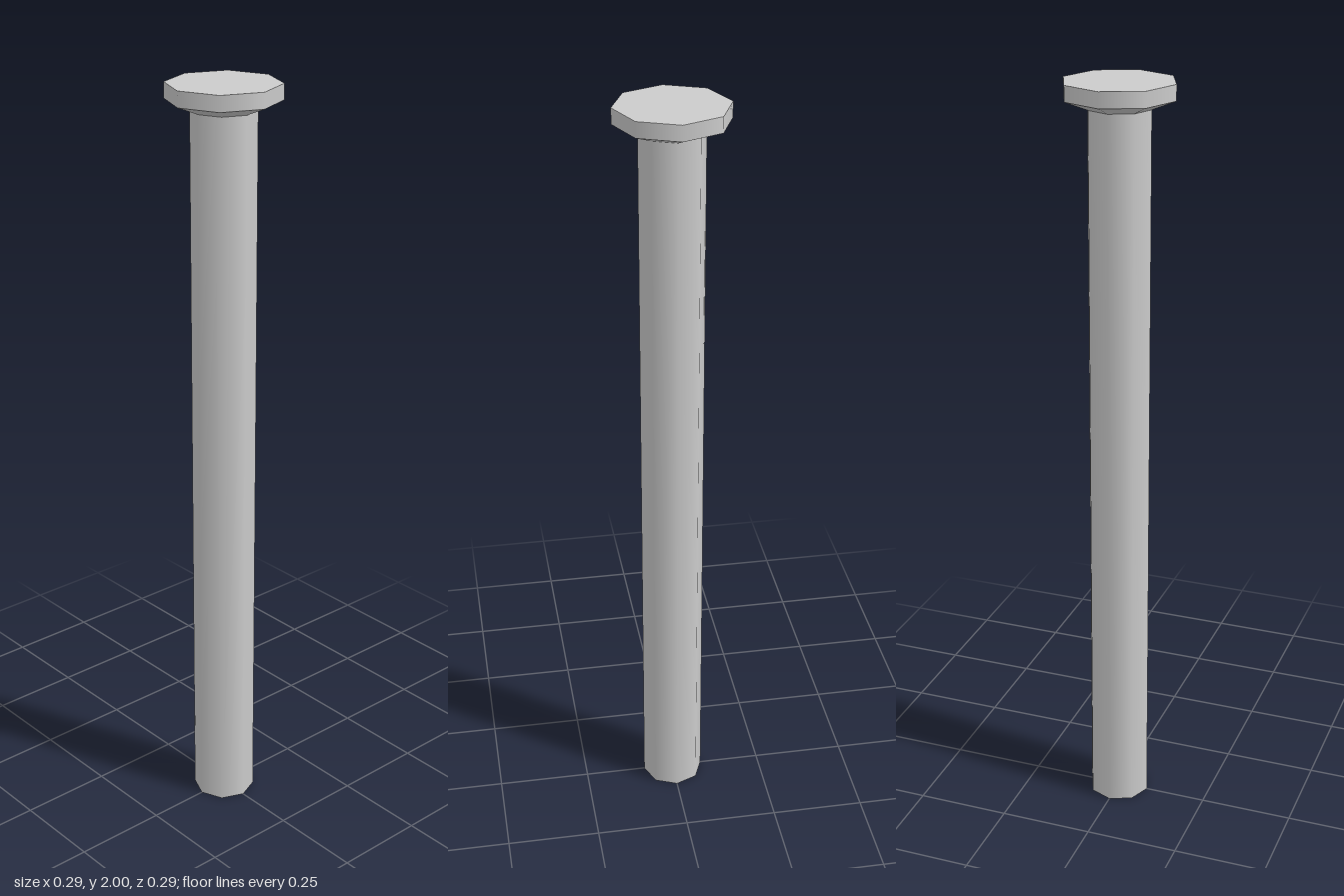
import * as THREE from 'three';

const SIDES = 8;
const SHAFT_R = 0.083;
const HEAD_R = 0.145;
const FLARE_Y = 1.935; // shaft meets flare
const RIM_Y = 1.96; // flare meets rim
const TOP_Y = 2;

export function createModel() {
  const group = new THREE.Group();
  group.name = 'column';
  const material = new THREE.MeshStandardMaterial({ color: 0xcccccc, side: THREE.DoubleSide });

  // Open eight-sided band, smooth around and sharp at its ends
  const addBand = (name, rBottom, rTop, y0, y1) => {
    const geometry = new THREE.CylinderGeometry(rTop, rBottom, y1 - y0, SIDES, 1, true);
    geometry.translate(0, (y0 + y1) / 2, 0);
    const mesh = new THREE.Mesh(geometry, material);
    mesh.name = name;
    group.add(mesh);
  };

  // Hollow shaft, open at the foot
  addBand('shaft', SHAFT_R, SHAFT_R, 0, FLARE_Y);

  // Head: flared underside, upright rim and flat top
  addBand('headFlare', SHAFT_R, HEAD_R, FLARE_Y, RIM_Y);
  addBand('headRim', HEAD_R, HEAD_R, RIM_Y, TOP_Y);

  const top = new THREE.Mesh(new THREE.CircleGeometry(HEAD_R, SIDES), material);
  top.name = 'headTop';
  top.rotation.x = -Math.PI / 2;
  top.position.y = TOP_Y;
  group.add(top);

  return group;
}
